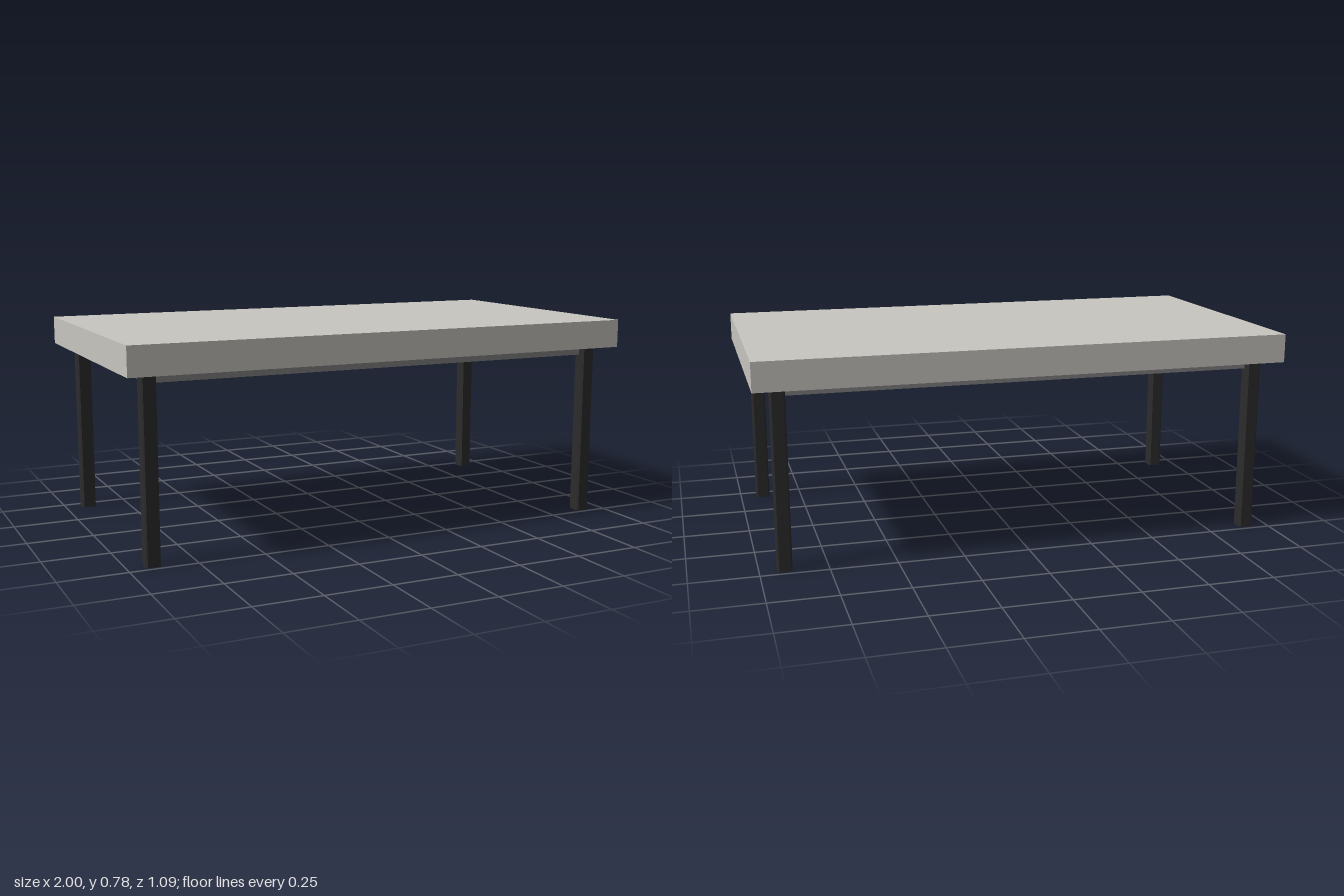
import * as THREE from 'three';

const SLAB_BOTTOM = 0.675, SLAB_TOP = 0.783;
const LEG_X = 0.909, LEG_Z = 0.455, LEG_HALF = 0.027, CHAMFER = 0.006;

// Square post with narrow chamfered corners, standing on y = 0
function legGeometry() {
  const h = LEG_HALF, i = LEG_HALF - CHAMFER;
  const outline = [[h, -i], [h, i], [i, h], [-i, h], [-h, i], [-h, -i], [-i, -h], [i, -h]];
  const shape = new THREE.Shape(outline.map(([x, y]) => new THREE.Vector2(x, y)));
  const geometry = new THREE.ExtrudeGeometry(shape, { depth: SLAB_BOTTOM, bevelEnabled: false });
  return geometry.rotateX(-Math.PI / 2);
}

function slab(name, width, depth, bottom, top, material) {
  const mesh = new THREE.Mesh(new THREE.BoxGeometry(width, top - bottom, depth), material);
  mesh.name = name;
  mesh.position.y = (bottom + top) / 2;
  return mesh;
}

export function createModel() {
  const stone = new THREE.MeshStandardMaterial({ color: 0xc8c6c0 });
  stone.name = 'pale stone';
  const grey = new THREE.MeshStandardMaterial({ color: 0x828282 });
  grey.name = 'mid grey';
  const black = new THREE.MeshStandardMaterial({ color: 0x2c2c2c });
  black.name = 'black metal';

  const table = new THREE.Group();
  table.name = 'table';

  // Thick top and the recessed panel beneath it
  table.add(slab('tableTop', 2, 1.09, SLAB_BOTTOM, SLAB_TOP, stone));
  table.add(slab('underPanel', LEG_X * 2, LEG_Z * 2, 0.64, SLAB_BOTTOM, grey));

  // Four legs
  const geometry = legGeometry();
  for (const [zName, z] of [['front', LEG_Z], ['back', -LEG_Z]]) {
    for (const [xName, x] of [['Left', LEG_X], ['Right', -LEG_X]]) {
      const leg = new THREE.Mesh(geometry, black);
      leg.name = `${zName}${xName}Leg`;
      leg.position.set(x, 0, z);
      table.add(leg);
    }
  }
  return table;
}
